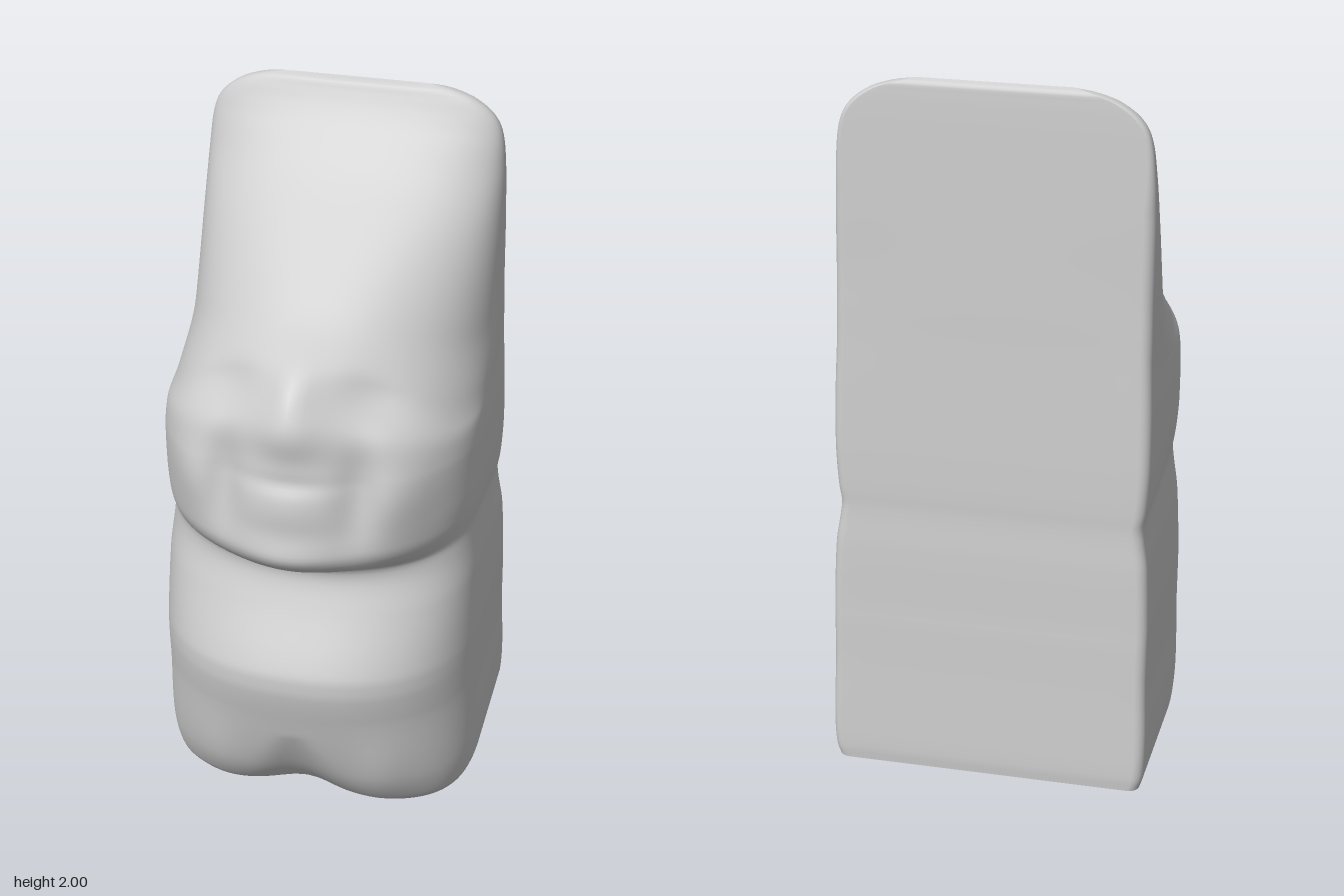
import * as THREE from 'three';

// Each key: height, half width, back z, z where the sides turn into the front, front z, squareness
const KEYS = [
  [0.00, 0.440, -0.453, -0.05, 0.225, 2.7],
  [0.04, 0.450, -0.455, -0.04, 0.275, 2.6],
  [0.15, 0.455, -0.449, -0.02, 0.335, 2.5],
  [0.37, 0.450, -0.434, 0.00, 0.400, 2.3],
  [0.47, 0.450, -0.428, 0.00, 0.422, 2.3],
  [0.52, 0.450, -0.424, 0.00, 0.420, 2.3],
  [0.70, 0.442, -0.412, 0.00, 0.330, 2.5],
  [0.78, 0.430, -0.404, 0.00, 0.300, 2.5],
  [0.82, 0.426, -0.401, 0.00, 0.310, 2.4],
  [0.86, 0.432, -0.400, 0.00, 0.390, 2.1],
  [0.92, 0.437, -0.397, 0.00, 0.425, 2.1],
  [1.00, 0.440, -0.392, 0.00, 0.415, 2.2],
  [1.15, 0.438, -0.381, 0.00, 0.392, 2.4],
  [1.30, 0.432, -0.370, -0.04, 0.372, 2.4],
  [1.41, 0.428, -0.363, -0.14, 0.310, 2.4],
  [1.49, 0.423, -0.357, -0.25, 0.200, 2.4],
  [1.53, 0.422, -0.354, -0.27, 0.150, 2.4],
  [1.66, 0.420, -0.345, -0.30, 0.000, 2.3],
  [1.78, 0.415, -0.336, -0.31, -0.130, 2.2],
  [1.88, 0.402, -0.329, -0.312, -0.215, 2.3],
  [1.93, 0.375, -0.325, -0.308, -0.250, 2.5],
  [1.97, 0.320, -0.321, -0.305, -0.272, 2.8],
  [1.99, 0.260, -0.317, -0.303, -0.283, 2.8],
  [2.00, 0.200, -0.302, -0.302, -0.302, 2.8],
];

// Smooth interpolation through the keys
function profileAt(y) {
  let i = 0;
  while (i < KEYS.length - 2 && y > KEYS[i + 1][0]) i++;
  const a = KEYS[i], b = KEYS[i + 1];
  const p = KEYS[Math.max(i - 1, 0)], q = KEYS[Math.min(i + 2, KEYS.length - 1)];
  const h = b[0] - a[0], t = (y - a[0]) / h, t2 = t * t, t3 = t2 * t;
  const limit = (m, s) => (m * s <= 0 ? 0 : Math.sign(m) * Math.min(Math.abs(m), 3 * Math.abs(s)));
  return a.slice(1).map((v, j) => {
    const k = j + 1, s = (b[k] - a[k]) / h;
    const ma = limit((b[k] - p[k]) / (b[0] - p[0]), s);
    const mb = limit((q[k] - a[k]) / (q[0] - a[0]), s);
    return v * (2 * t3 - 3 * t2 + 1) + ma * h * (t3 - 2 * t2 + t) + b[k] * (3 * t2 - 2 * t3) + mb * h * (t3 - t2);
  });
}

const bell = (v, centre, width) => Math.exp(-(((v - centre) / width) ** 2));

// Relief on the front: x, y, x spread, y spread, height (mirrored by using |x|)
const RELIEF = [
  [0.00, 1.28, 0.090, 0.09, 0.040],   // nose
  [0.00, 1.38, 0.050, 0.06, 0.020],   // bridge of the nose
  [0.20, 1.37, 0.110, 0.07, -0.045],  // eye hollows
  [0.00, 1.13, 0.130, 0.022, -0.008], // mouth
  [0.00, 1.07, 0.140, 0.11, 0.034],   // muzzle
  [0.18, 1.10, 0.050, 0.13, -0.024],  // creases beside the mouth
  [0.29, 1.09, 0.075, 0.13, 0.022],   // cheeks
  [0.00, 0.91, 0.130, 0.06, 0.024],   // chin
  [0.24, 0.14, 0.070, 0.14, 0.010],   // legs
];

function relief(x, y) {
  const ax = Math.abs(x);
  let d = 0;
  for (const [cx, cy, sx, sy, h] of RELIEF) d += h * bell(ax, cx, sx) * bell(y, cy, sy);
  // Split between the feet, widening downwards
  const down = Math.max(0, 1 - y / 0.3);
  return d - 0.06 * down * bell(ax, 0, 0.03 + 0.09 * down);
}

// One closed outline: rounded front, sides narrowing slightly to a flat back
function outline(y) {
  const [w, back, side, front, n] = profileAt(y);
  const pts = [];
  const FRONT = 96, SIDE = 10, CORNER = 6, BACK = 16;
  for (let i = 0; i <= FRONT; i++) {
    const t = (Math.PI * i) / FRONT, c = Math.cos(t), s = Math.max(0, Math.sin(t));
    const x = w * Math.sign(c) * Math.abs(c) ** (2 / n);
    const z = side + (front - side) * s ** (2 / n);
    pts.push([x, z + relief(x, y) * Math.min(1, s * 1.5)]);
  }
  const r = Math.min(0.03, (side - back) * 0.8);
  const wb = w - 0.03 * (side - back);
  const left = [];
  for (let i = 1; i < SIDE; i++) {
    const f = i / SIDE;
    left.push([-w + (w - wb) * f, side + (back + r - side) * f]);
  }
  for (let i = 0; i <= CORNER; i++) {
    const a = (Math.PI / 2) * (i / CORNER);
    left.push([-wb + r - r * Math.cos(a), back + r - r * Math.sin(a)]);
  }
  pts.push(...left);
  for (let i = 1; i < BACK; i++) pts.push([(wb - r) * (-1 + (2 * i) / BACK), back]);
  pts.push(...left.reverse().map(([x, z]) => [-x, z]));
  return { pts, w };
}

function bodyGeometry() {
  const ROWS = 170, pos = [], idx = [];
  let count = 0;
  for (let j = 0; j <= ROWS; j++) {
    // Rows gather towards the rounded top
    const u = j / ROWS;
    const row = u < 0.9 ? (u / 0.9) * 1.88 : 1.88 + 0.12 * Math.sin(((u - 0.9) / 0.1) * Math.PI / 2);
    const { pts, w } = outline(row);
    count = pts.length;
    for (const [x, z] of pts) {
      // The brim droops and the chin line lifts towards the sides
      const outer = Math.min(1, (x / w) ** 2);
      const droop = 0.16 * bell(row, 1.43, 0.18) * outer * THREE.MathUtils.smoothstep(z, -0.5, -0.1);
      const lift = 0.045 * bell(row, 0.83, 0.13) * outer * THREE.MathUtils.smoothstep(z, -0.4, 0.05);
      // The hem rises behind and between the feet
      const behind = THREE.MathUtils.smoothstep(-z, -0.2, 0.02);
      const rise = 0.035 * behind + 0.018 * bell(x, 0, 0.2) * (1 - behind) + 0.012 * Math.max(0, -z);
      const hem = rise * Math.max(0, 1 - row / 0.3);
      pos.push(x, row - droop + lift + hem, z);
    }
  }
  for (let j = 0; j < ROWS; j++) {
    for (let i = 0; i < count; i++) {
      const a = j * count + i, b = j * count + ((i + 1) % count);
      idx.push(a, a + count, b, b, a + count, b + count);
    }
  }
  const g = new THREE.BufferGeometry();
  g.setAttribute('position', new THREE.Float32BufferAttribute(pos, 3));
  g.setIndex(idx);
  g.computeVertexNormals();
  return g;
}

export function createModel() {
  const group = new THREE.Group();
  group.name = 'carvedFigure';
  // Hollow shell, open underneath
  const body = new THREE.Mesh(
    bodyGeometry(),
    new THREE.MeshStandardMaterial({ color: 0xcccccc, side: THREE.DoubleSide })
  );
  body.name = 'figureShell';
  group.add(body);
  return group;
}
